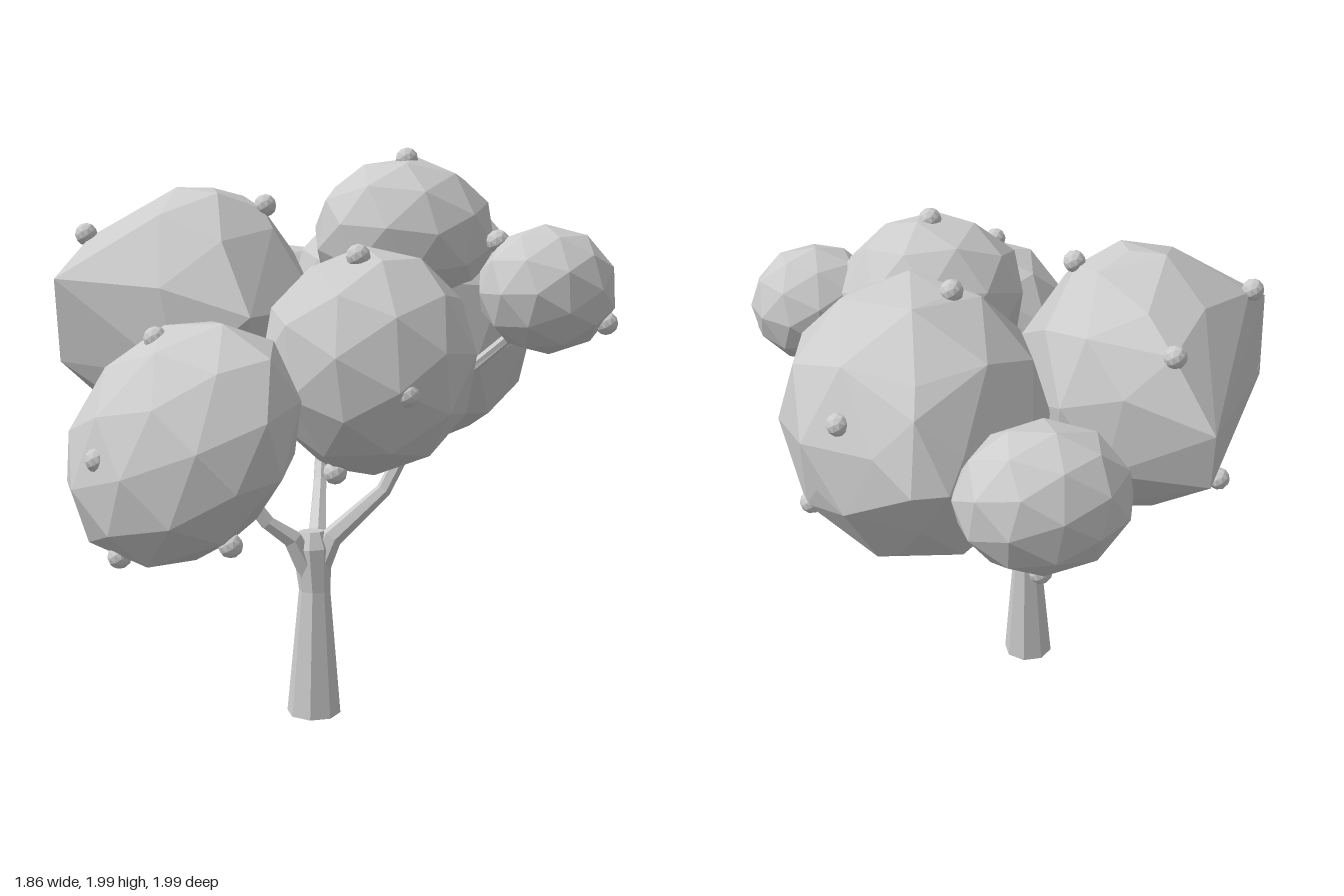
import * as THREE from 'three';
import { mergeVertices } from 'three/addons/utils/BufferGeometryUtils.js';
import { ConvexGeometry } from 'three/addons/geometries/ConvexGeometry.js';

const V = (x, y, z) => new THREE.Vector3(x, y, z);

// Unit low-poly ball points, turned by a seed and stretched to reach +-1 on every axis
function ballPoints(seed) {
  const ico = new THREE.IcosahedronGeometry(1, 1);
  ico.deleteAttribute('normal');
  ico.deleteAttribute('uv');
  const pos = mergeVertices(ico).attributes.position;
  const turn = new THREE.Euler(seed * 1.3, seed * 2.1, seed * 0.7);
  const points = [];
  for (let i = 0; i < pos.count; i++) {
    points.push(new THREE.Vector3().fromBufferAttribute(pos, i).applyEuler(turn));
  }
  const size = new THREE.Box3().setFromPoints(points).getSize(V(0, 0, 0)).multiplyScalar(0.5);
  return points.map((p) => p.divide(size));
}

// Faceted leaf clump: sheared ellipsoid with extra corners, reaching out to its fruit
function clump({ c, r, xByY = 0, xByZ = 0, zByX = 0, corners = [], fruit }, seed) {
  const points = ballPoints(seed).map((u) => V(
    c[0] + r[0] * u.x + xByY * u.y + xByZ * u.z,
    c[1] + r[1] * u.y,
    c[2] + r[2] * u.z + zByX * u.x,
  ));
  const stems = fruit.map((p) => V(...p).lerp(V(...c), 0.03));
  return new ConvexGeometry([...points, ...stems, ...corners.map((p) => V(...p))]);
}

// Faceted tapering limb through stations [x, y, z, radius]
function limb(stations, sides) {
  const centres = stations.map((s) => V(s[0], s[1], s[2]));
  const last = stations.length - 1;
  const verts = [];
  const index = [];
  centres.forEach((c, i) => {
    const t = centres[Math.min(i + 1, last)].clone().sub(centres[Math.max(i - 1, 0)]).normalize();
    if (i === 0 && c.y === 0) t.set(0, 1, 0);
    const n = V(1, 0, 0).addScaledVector(t, -t.x).normalize();
    const b = t.clone().cross(n);
    for (let j = 0; j < sides; j++) {
      const a = ((j + 0.5) / sides) * Math.PI * 2;
      const p = c.clone()
        .addScaledVector(n, Math.cos(a) * stations[i][3])
        .addScaledVector(b, Math.sin(a) * stations[i][3]);
      verts.push(p.x, p.y, p.z);
    }
  });
  for (let j = 0; j < sides; j++) {
    const k = (j + 1) % sides;
    for (let i = 0; i < last; i++) {
      const lo = i * sides;
      const hi = lo + sides;
      index.push(lo + j, lo + k, hi + k, lo + j, hi + k, hi + j);
    }
    // End caps
    if (j > 0 && j < sides - 1) {
      index.push(0, k, j, last * sides, last * sides + j, last * sides + k);
    }
  }
  const g = new THREE.BufferGeometry();
  g.setAttribute('position', new THREE.Float32BufferAttribute(verts, 3));
  g.setIndex(index);
  const flat = g.toNonIndexed();
  flat.computeVertexNormals();
  return flat;
}

export function createModel() {
  const tree = new THREE.Group();
  tree.name = 'tree';
  const grey = new THREE.MeshStandardMaterial({ color: 0xcccccc });
  grey.name = 'light grey';
  const add = (name, geometry, parent = tree) => {
    const mesh = new THREE.Mesh(geometry, grey);
    mesh.name = name;
    parent.add(mesh);
    return mesh;
  };

  // Trunk, narrowing and then flaring into the fork
  add('trunk', limb([
    [-0.065, 0, 0.31, 0.096],
    [-0.06, 0.45, 0.3, 0.056],
    [-0.065, 0.6, 0.285, 0.07],
    [-0.065, 0.66, 0.28, 0.045],
  ], 8));

  // Three branches from the fork
  add('leftBranch', limb([
    [-0.07, 0.5, 0.3, 0.045], [-0.14, 0.64, 0.3, 0.037], [-0.23, 0.705, 0.3, 0.028],
    [-0.32, 0.83, 0.28, 0.025], [-0.4, 1.08, 0.22, 0.02],
  ], 6));
  add('rightBranch', limb([
    [-0.06, 0.5, 0.3, 0.045], [0, 0.64, 0.31, 0.038], [0.19, 0.8, 0.31, 0.027],
    [0.35, 1.1, 0.31, 0.024], [0.6, 1.36, 0.46, 0.018],
  ], 6));
  add('backBranch', limb([
    [-0.06, 0.56, 0.29, 0.042], [-0.03, 0.63, 0.22, 0.034], [0.06, 0.75, -0.08, 0.026],
    [0.12, 0.94, -0.27, 0.023], [0.13, 1.24, -0.62, 0.018],
  ], 6));

  // Leaf clumps, each with its own fruit
  const clumps = {
    leftBackClump: {
      c: [-0.39, 1.375, -0.03], r: [0.395, 0.475, 0.47], xByZ: -0.06,
      corners: [[-0.93, 1.56, 0.16], [-0.49, 1.42, -0.63], [-0.33, 1.45, 0.5],
        [-0.91, 1.27, 0.1], [-0.03, 1.45, 0.25], [-0.35, 1.85, -0.02],
        [-0.5, 1.2, -0.58], [-0.5, 0.95, -0.15]],
      fruit: [[-0.79, 1.69, -0.08], [-0.38, 1.66, -0.5], [-0.18, 1.79, 0.07],
        [-0.86, 1.3, 0.08], [-0.61, 1.1, -0.35]],
    },
    leftFrontClump: {
      c: [-0.585, 1.07, 0.605], r: [0.345, 0.39, 0.37], xByY: 0.11, zByX: 0.13,
      fruit: [[-0.65, 1.4, 0.55], [-0.86, 1.04, 0.67], [-0.47, 0.78, 0.83], [-0.79, 0.71, 0.62]],
    },
    frontClump: {
      c: [0.045, 1.31, 0.6], r: [0.36, 0.37, 0.365],
      fruit: [[-0.02, 1.66, 0.69], [0.07, 1.25, 0.93], [-0.08, 0.95, 0.64]],
    },
    rightBackClump: {
      c: [0.43, 1.36, -0.145], r: [0.46, 0.49, 0.51],
      corners: [[0.41, 1.36, -0.725], [0.53, 1.36, -0.72], [0.5, 1.59, -0.64],
        [0.55, 1.03, -0.5], [0.8, 1.25, -0.4]],
      fruit: [[0.3, 1.83, -0.2], [0.72, 1.52, -0.47], [0.81, 1.13, -0.26], [0.43, 0.89, -0.03]],
    },
    topClump: {
      c: [0.305, 1.68, 0.155], r: [0.325, 0.275, 0.29],
      fruit: [[0.31, 1.95, 0.16]],
    },
    rightFrontClump: {
      c: [0.69, 1.52, 0.54], r: [0.24, 0.22, 0.215],
      fruit: [[0.54, 1.68, 0.46], [0.87, 1.41, 0.63]],
    },
    backClump: {
      c: [0.115, 1.34, -0.755], r: [0.295, 0.245, 0.245],
      fruit: [[0.13, 1.08, -0.78]],
    },
  };
  const fruitShape = new THREE.IcosahedronGeometry(0.04, 1).toNonIndexed();
  fruitShape.computeVertexNormals();
  Object.entries(clumps).forEach(([name, spec], i) => {
    const group = new THREE.Group();
    group.name = name;
    tree.add(group);
    add('leaves', clump(spec, i + 1), group);
    for (const p of spec.fruit) add('fruit', fruitShape, group).position.set(...p);
  });

  return tree;
}
